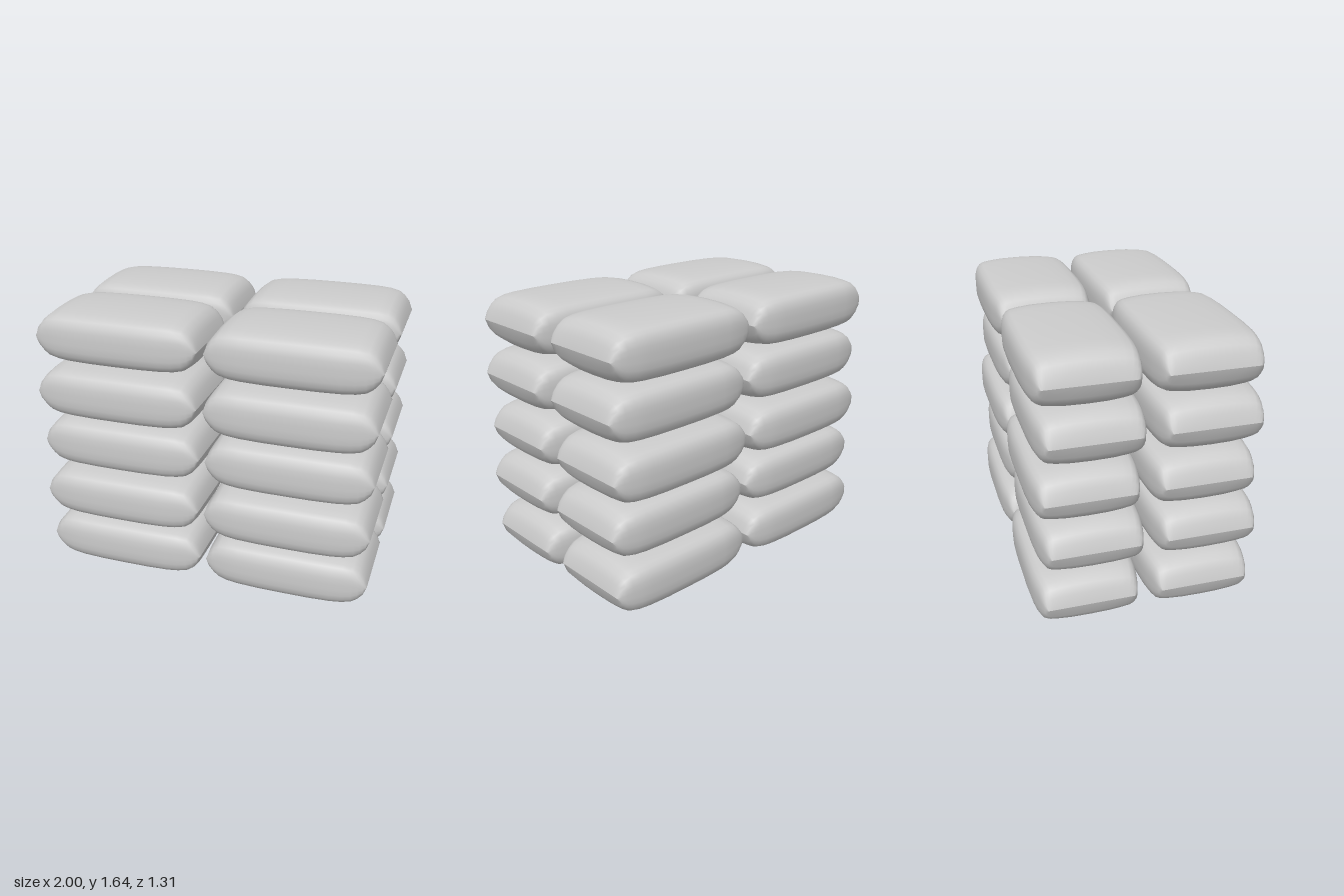
import * as THREE from 'three';

// Half thickness and half depth of a sack at stations along its length: [x, halfZ, halfY]
const HALF_STATIONS = [
  [0, 0.309, 0.158], [0.15, 0.309, 0.157], [0.28, 0.304, 0.154], [0.35, 0.296, 0.149],
  [0.405, 0.285, 0.137], [0.44, 0.277, 0.11], [0.47, 0.266, 0.07], [0.49, 0.25, 0],
];
// Quarter of the unit cross-section, from the side (z) up to the top (y)
const QUARTER = [[1, 0.12], [0.995, 0.38], [0.965, 0.6], [0.91, 0.77], [0.83, 0.86], [0.68, 0.92], [0.4, 0.98], [0, 1]];

// Plump sack lofted through the stations; both ends close to a ridge
function sackGeometry() {
  const stations = [
    ...HALF_STATIONS.slice(1).reverse().map(([x, z, y]) => [-x, z, y]),
    ...HALF_STATIONS,
  ];
  const upper = [...QUARTER, ...QUARTER.slice(0, -1).reverse().map(([z, y]) => [-z, y])];
  const ring = [...upper, ...upper.map(([z, y]) => [-z, -y])];
  const n = ring.length;
  const positions = [];
  const indices = [];
  stations.forEach(([x, hz, hy], s) => {
    for (const [z, y] of ring) positions.push(x, y * hy, z * hz);
    if (s === 0) return;
    for (let i = 0; i < n; i++) {
      const j = (i + 1) % n;
      const a = (s - 1) * n + i, b = (s - 1) * n + j;
      const c = s * n + i, d = s * n + j;
      indices.push(a, c, b, b, c, d);
    }
  });
  const geometry = new THREE.BufferGeometry();
  geometry.setAttribute('position', new THREE.Float32BufferAttribute(positions, 3));
  geometry.setIndex(indices);
  geometry.computeVertexNormals();
  return geometry;
}

export function createModel() {
  const model = new THREE.Group();
  model.name = 'sackStack';
  const material = new THREE.MeshStandardMaterial({ color: 0xcccccc });
  const geometry = sackGeometry();

  // Five layers of two by two sacks, every other layer shifted slightly forward
  for (let layer = 0; layer < 5; layer++) {
    const group = new THREE.Group();
    group.name = `layer${layer + 1}`;
    group.position.set(0, 0.165 + layer * 0.33, layer % 2 ? 0.017 : -0.011);
    for (const side of [-1, 1]) {
      for (const row of [-1, 1]) {
        const sack = new THREE.Mesh(geometry, material);
        sack.name = `${row > 0 ? 'front' : 'back'}${side > 0 ? 'Left' : 'Right'}Sack`;
        sack.position.set(side * 0.509, 0, row * 0.33);
        group.add(sack);
      }
    }
    model.add(group);
  }
  return model;
}
